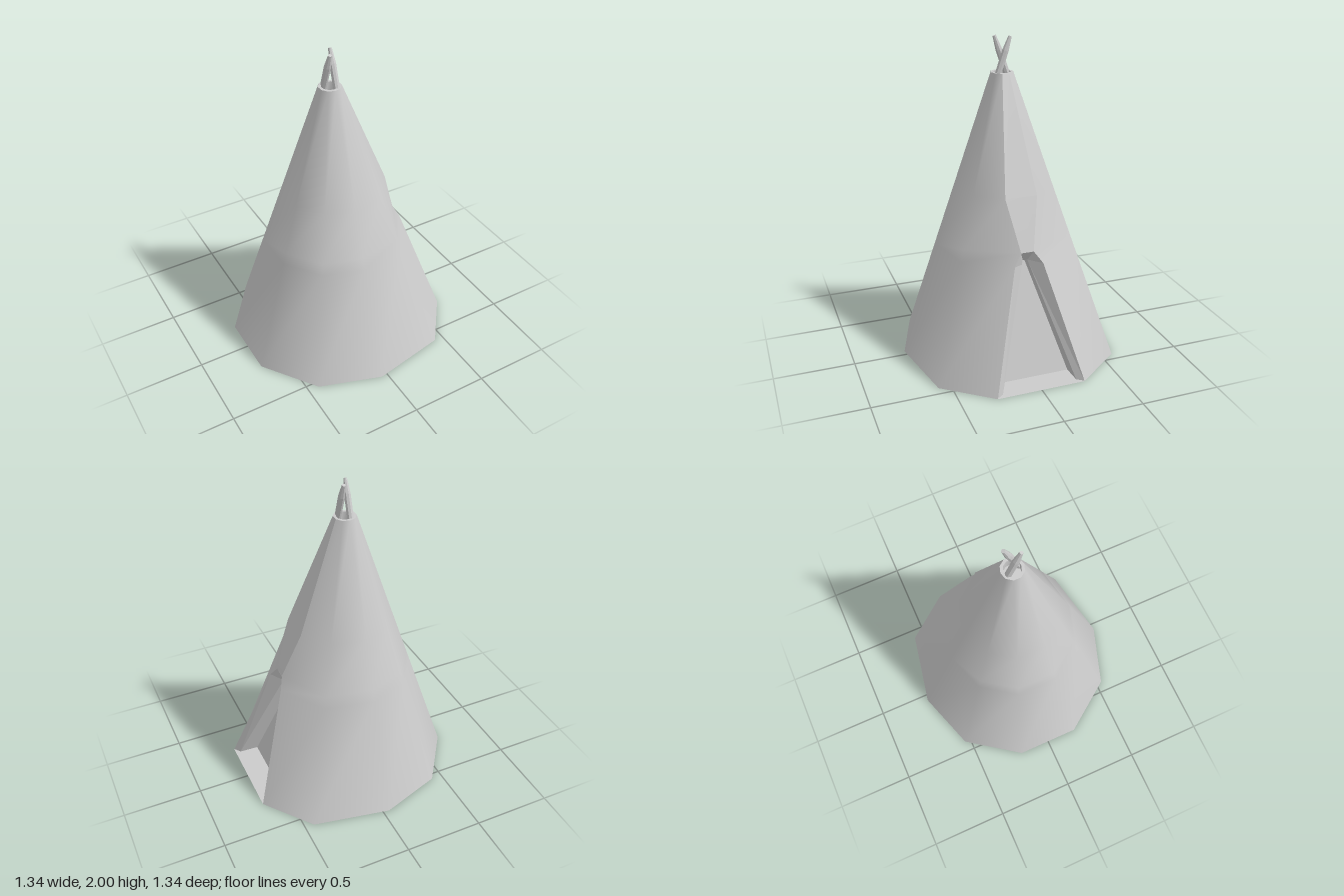
import * as THREE from 'three';

const TOP_Y = 1.785, CX = -0.035;
const grey = (opts = {}) => new THREE.MeshStandardMaterial({ color: 0xcccccc, ...opts });

// Base outline from the left door jamb round to the right one, mirrored in z
const half = [[0.67, 0.28], [0.44, 0.577], [-0.04, 0.67], [-0.43, 0.54], [-0.67, 0.205]];
const base = [...half, ...half.map(([x, z]) => [x, -z]).reverse()];

function mesh(name, geometry, material) {
  const m = new THREE.Mesh(geometry, material);
  m.name = name;
  return m;
}

// Surface between rows of points, all rows equally long
function loft(rows, closed = false) {
  const n = rows[0].length, index = [];
  for (let r = 0; r < rows.length - 1; r++) {
    for (let i = 0; i < (closed ? n : n - 1); i++) {
      const j = (i + 1) % n;
      const a = r * n + i, b = r * n + j, c = a + n, d = b + n;
      index.push(a, c, b, b, c, d);
    }
  }
  const g = new THREE.BufferGeometry();
  g.setAttribute('position', new THREE.Float32BufferAttribute(rows.flat(2), 3));
  g.setIndex(index);
  g.computeVertexNormals();
  return g;
}

function ring(radius, y) {
  return base.map((_, i) => {
    const a = Math.PI / 10 + (i * Math.PI) / 5;
    return [CX + radius * Math.cos(a), y, radius * Math.sin(a)];
  });
}

const mirrorChain = (pts) => [...pts, ...pts.map(([x, y, z]) => [x, y, -z]).reverse()];

function polygon(points) {
  const s = new THREE.Shape(points.map(([x, y]) => new THREE.Vector2(x, y)));
  return new THREE.ShapeGeometry(s);
}

export function createModel() {
  const tent = new THREE.Group();
  tent.name = 'tent';
  const flatTwoSided = grey({ flatShading: true, side: THREE.DoubleSide });

  // Cloth: straight columns, with the two door columns bending around the opening
  const top = ring(0.07, TOP_Y);
  const doorEdge = [[0.67, 0, 0.28], [0.44, 0.72, 0.09], [0.41, 0.79, 0.04], [0.3, 1.1, 0.1]];
  const rows = doorEdge.map(([dx, y, dz]) => base.map(([x, z], i) => {
    if (i === 0) return [dx, y, dz];
    if (i === 9) return [dx, y, -dz];
    const t = y / TOP_Y;
    return [x + (top[i][0] - x) * t, y, z + (top[i][2] - z) * t];
  }));
  rows.push(top);
  tent.add(mesh('clothWall', loft(rows), grey({ side: THREE.DoubleSide })));

  // Cloth closing the gap above the doorway
  const above = [...rows.slice(2)].map((r) => [r[9], r[0]]);
  tent.add(mesh('clothAboveDoor', loft(above), grey({ side: THREE.DoubleSide })));

  // Rim and smoke hole
  const rim = loft([top, ring(0.052, TOP_Y)], true);
  tent.add(mesh('topRim', rim, flatTwoSided));
  const hole = loft([ring(0.052, TOP_Y), ring(0.052, 1.72)], true);
  tent.add(mesh('smokeHole', hole, grey({ side: THREE.DoubleSide })));
  const holeFloor = new THREE.CircleGeometry(0.053, 10).rotateX(-Math.PI / 2);
  holeFloor.translate(CX, 1.72, 0);
  tent.add(mesh('smokeHoleFloor', holeFloor, grey()));

  // Door recess: outer edge, bevelled lip, then the jamb going in to the panel
  const outer = mirrorChain(doorEdge.slice(0, 3));
  const lip = mirrorChain([[0.64, 0, 0.238], [0.378, 0.7, 0.022], [0.37, 0.725, 0.015]]);
  const inner = mirrorChain([[0.52, 0, 0.232], [0.3, 0.7, 0.02], [0.292, 0.725, 0.013]]);
  tent.add(mesh('doorFrame', loft([outer, lip]), flatTwoSided));
  tent.add(mesh('doorJamb', loft([lip, inner]), flatTwoSided));
  const panelRows = [0, 1, 2].map((i) => [inner[5 - i], inner[i]]);
  tent.add(mesh('doorPanel', loft(panelRows), flatTwoSided));

  // Ground sheet, facing down, and the threshold facing up
  const ground = polygon(base).rotateX(Math.PI / 2);
  tent.add(mesh('groundSheet', ground, flatTwoSided));
  const step = polygon([[0.67, 0.28], [0.67, -0.28], [0.52, -0.232], [0.52, 0.232]]);
  step.rotateX(-Math.PI / 2).translate(0, 0.003, 0);
  tent.add(mesh('doorThreshold', step, grey()));

  // Two crossing poles with tapered tips
  for (const [x, side] of [[-0.056, 1], [-0.009, -1]]) {
    const profile = [[0, 0], [0.02, 0], [0.021, 0.2], [0.011, 0.288], [0, 0.288]];
    const pole = mesh('tentPole', new THREE.LatheGeometry(
      profile.map(([r, y]) => new THREE.Vector2(r, y)), 8), grey({ flatShading: true }));
    pole.position.set(x, 1.725, -0.052 * side);
    pole.rotation.x = 0.33 * side;
    tent.add(pole);
  }
  return tent;
}
